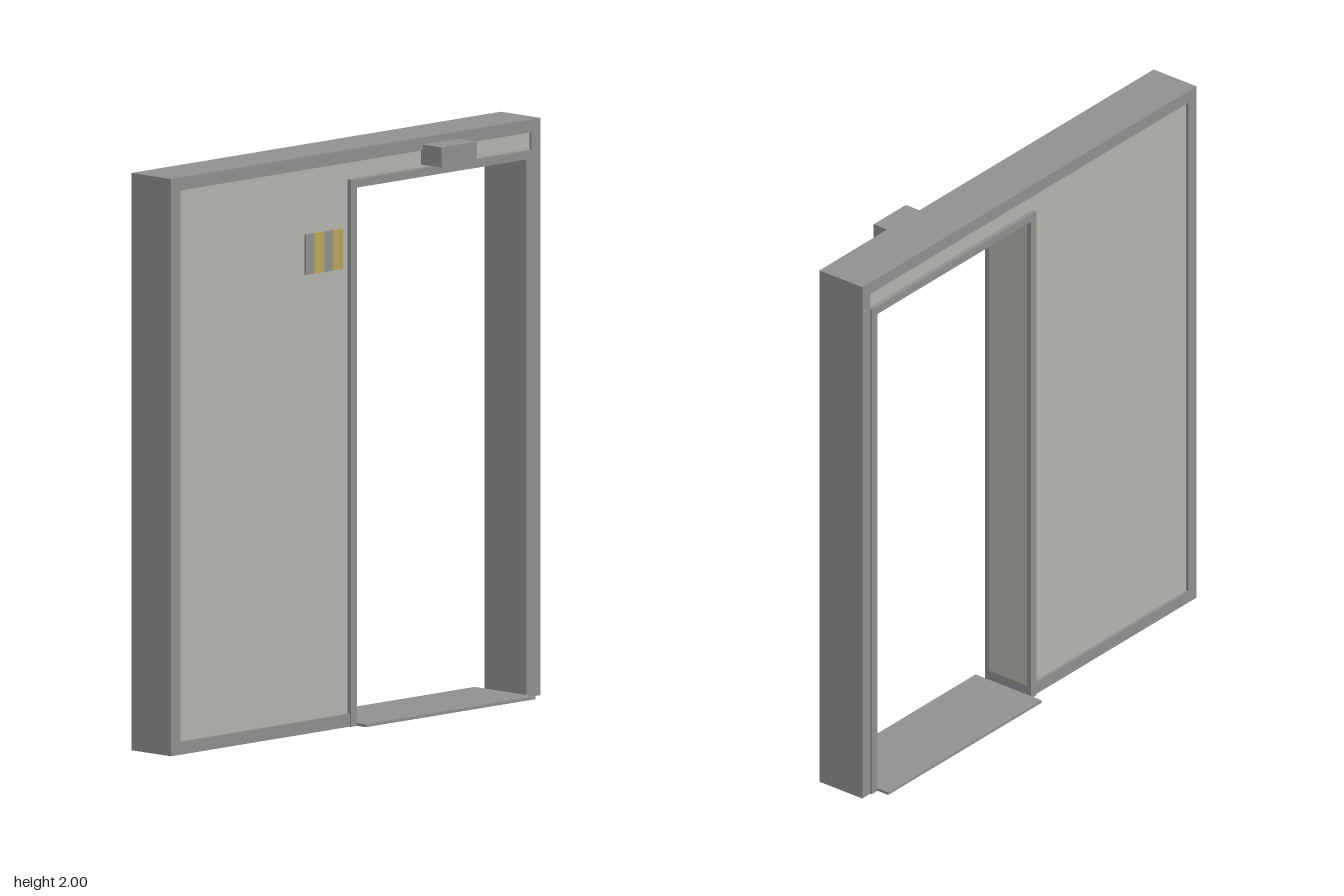
import * as THREE from 'three';

const frameGray = new THREE.MeshStandardMaterial({ color: 0x8f918f });
frameGray.name = 'frame gray';
const panelGray = new THREE.MeshStandardMaterial({ color: 0xb5b5ad });
panelGray.name = 'panel gray';
const signYellow = new THREE.MeshStandardMaterial({ color: 0xbaa55a });
signYellow.name = 'sign yellow';

// Wall depth, recessed panel depth and raised trim depth
const FRONT = 0.077, BACK = -0.112, INSET = 0.01, RAISE = 0.006;

// Box given by its limits on each axis
function box(name, material, [x0, x1], [y0, y1], [z0, z1]) {
  const mesh = new THREE.Mesh(new THREE.BoxGeometry(x1 - x0, y1 - y0, z1 - z0), material);
  mesh.position.set((x0 + x1) / 2, (y0 + y1) / 2, (z0 + z1) / 2);
  mesh.name = name;
  return mesh;
}

// Flat outline extruded between two z limits
function slab(name, material, points, z0, z1) {
  const shape = new THREE.Shape(points.map(([x, y]) => new THREE.Vector2(x, y)));
  const geometry = new THREE.ExtrudeGeometry(shape, { depth: z1 - z0, bevelEnabled: false });
  geometry.translate(0, 0, z0);
  const mesh = new THREE.Mesh(geometry, material);
  mesh.name = name;
  return mesh;
}

export function createModel() {
  const model = new THREE.Group();
  model.name = 'doorwayWall';
  const depth = [BACK, FRONT];
  const inner = [BACK + INSET, FRONT - INSET];

  // Outer border, open at the bottom of the doorway
  model.add(slab('outerFrame', frameGray, [
    [0, 0], [0, 0.045], [-0.865, 0.045], [-0.865, 1.955], [0.865, 1.955],
    [0.865, 0], [0.91, 0], [0.91, 2], [-0.91, 2], [-0.91, 0],
  ], ...depth));

  // Recessed wall panel with a strip over the doorway
  model.add(slab('wallPanel', panelGray, [
    [-0.865, 0.045], [0, 0.045], [0, 1.88], [0.865, 1.88], [0.865, 1.955], [-0.865, 1.955],
  ], ...inner));

  // Lining of the opening
  model.add(box('lintelLining', frameGray, [0, 0.865], [1.865, 1.88], inner));
  model.add(box('sideLining', frameGray, [0.835, 0.865], [0, 1.865], inner));

  // Raised door trim on both faces
  const trim = [
    [-0.03, 0], [0, 0], [0, 1.865], [0.835, 1.865],
    [0.835, 0], [0.865, 0], [0.865, 1.895], [-0.03, 1.895],
  ];
  model.add(slab('frontTrim', frameGray, trim, FRONT - INSET, FRONT + RAISE));
  model.add(slab('backTrim', frameGray, trim, BACK - RAISE, BACK + INSET));

  // Floor plate and the sensor over the door
  model.add(box('threshold', frameGray, [0, 0.835], [0, 0.01], [-0.165, 0.125]));
  model.add(box('doorSensor', frameGray, [0.33, 0.505], [1.905, 1.975], [FRONT - INSET, 0.165]));

  // Striped sign, standing slightly off the panel
  const sign = new THREE.Group();
  sign.name = 'stripedSign';
  const edges = [-0.255, -0.213, -0.163, -0.123, -0.073];
  for (let i = 0; i < 4; i++) {
    sign.add(box('signStripe', i % 2 ? signYellow : frameGray,
      [edges[i], edges[i + 1]], [1.592, 1.732], [0.079, 0.086]));
  }
  model.add(sign);
  return model;
}
